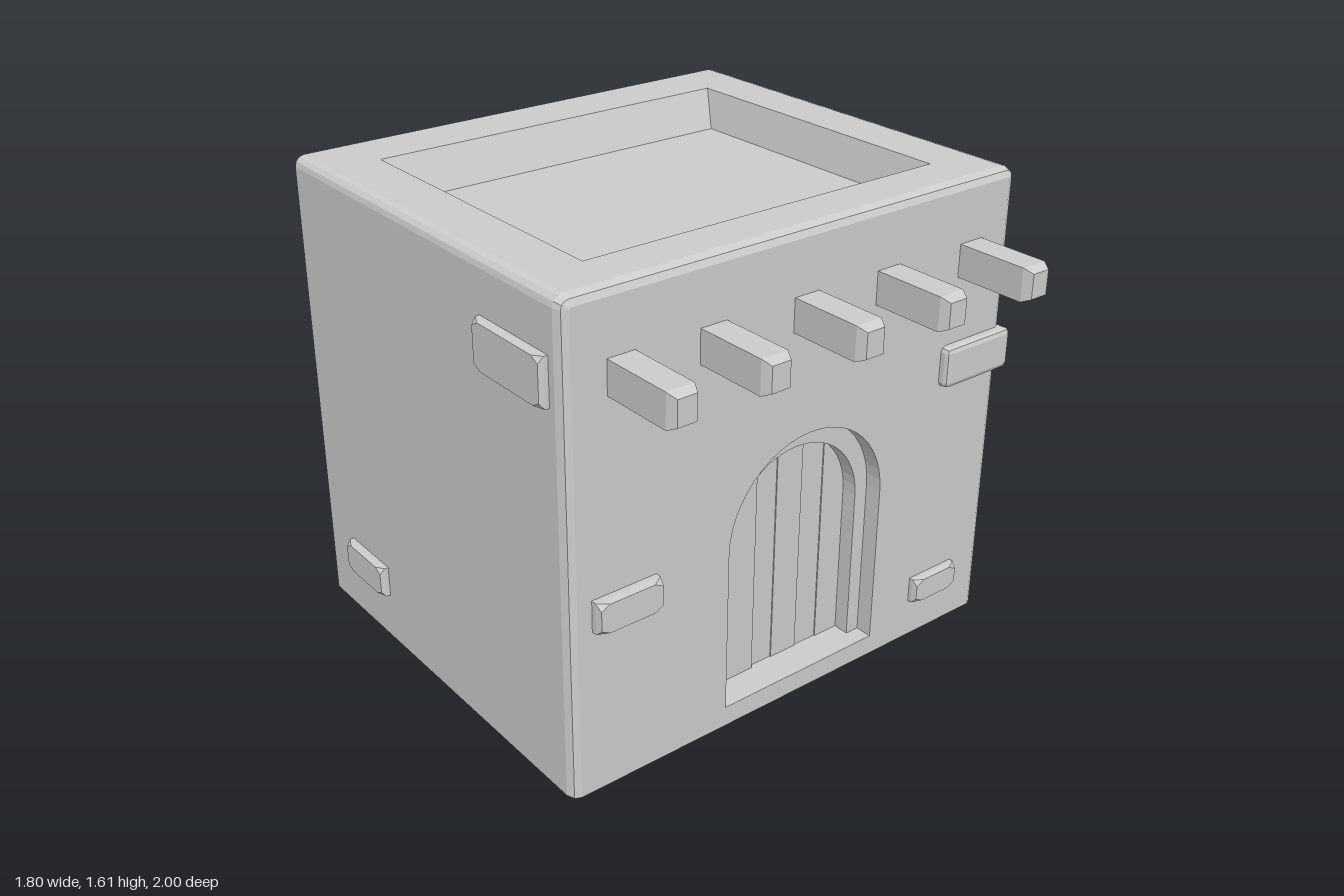
import * as THREE from 'three';
import { ConvexGeometry } from 'three/addons/geometries/ConvexGeometry.js';
import { RoundedBoxGeometry } from 'three/addons/geometries/RoundedBoxGeometry.js';

const material = new THREE.MeshStandardMaterial({ color: 0xcccccc, flatShading: true });
const V3 = (x, y, z) => new THREE.Vector3(x, y, z);
const V2 = (x, y) => new THREE.Vector2(x, y);

function add(parent, name, geometry) {
  const mesh = new THREE.Mesh(geometry, material);
  mesh.name = name;
  parent.add(mesh);
  return mesh;
}

// Skin between closed rings of equal length; skip(k, i) leaves a quad open
function loft(rings, skip = () => false) {
  const pts = [];
  for (let k = 0; k < rings.length - 1; k++) {
    const p = rings[k], q = rings[k + 1];
    for (let i = 0; i < p.length; i++) {
      if (skip(k, i)) continue;
      const j = (i + 1) % p.length;
      pts.push(p[i], p[j], q[j], p[i], q[j], q[i]);
    }
  }
  const g = new THREE.BufferGeometry().setFromPoints(pts);
  g.computeVertexNormals();
  return g;
}

// House outline seen from the front, softened at the two upper corners
const W0 = -0.87, W1 = 0.86, H = 1.61, BACK = -0.745, FRONT = 0.72, R = 0.035, SEG = 3;
function outline(inset) {
  const pts = [V2(W0 + inset, 0), V2(W1 - inset, 0)];
  for (const [cx, start] of [[W1 - R, 0], [W0 + R, Math.PI / 2]]) {
    for (let i = 0; i <= SEG; i++) {
      const a = start + (i / SEG) * Math.PI / 2;
      pts.push(V2(cx + (R - inset) * Math.cos(a), H - R + (R - inset) * Math.sin(a)));
    }
  }
  return pts;
}

// Round-headed doorway outline
function arch(r, spring) {
  const pts = [V2(0.03 - r, 0.07), V2(0.03 + r, 0.07)];
  for (let i = 0; i <= 24; i++) {
    const a = (i / 24) * Math.PI;
    pts.push(V2(0.03 + r * Math.cos(a), spring + r * Math.sin(a)));
  }
  return pts;
}

const atZ = (pts, z) => pts.map(p => V3(p.x, p.y, z));
const rect = (x0, x1, z0, z1) => [V2(x0, -z1), V2(x1, -z1), V2(x1, -z0), V2(x0, -z0)];

function flat(pts, hole) {
  const shape = new THREE.Shape(pts);
  if (hole) shape.holes.push(new THREE.Path(hole));
  return new THREE.ShapeGeometry(shape);
}

// Block whose outer face has its corners cut away
function brickGeometry(w, h, out) {
  const x = w / 2, y = h / 2, pts = [];
  for (const sx of [-1, 1]) for (const sy of [-1, 1]) {
    pts.push(V3(sx * x, sy * y, -0.04), V3(sx * x, sy * y, out * 0.45));
    pts.push(V3(sx * (x - 0.035), sy * (y - 0.004), out), V3(sx * (x - 0.005), sy * (y - 0.02), out));
  }
  return new ConvexGeometry(pts);
}

// Square roof beam running through the house, chamfered at its front end
function beamGeometry(w, h) {
  const ring = (i, z) => [V3(-w + i, -h + i, z), V3(w - i, -h + i, z), V3(w - i, h - i, z), V3(-w + i, h - i, z)];
  return new ConvexGeometry([...ring(0, -1), ...ring(0, 0.97), ...ring(0.014, 1)]);
}

export function createModel() {
  const model = new THREE.Group();
  model.name = 'adobeHouse';

  // Walls with softened front edges
  const walls = new THREE.Group();
  walls.name = 'walls';
  model.add(walls);
  const layers = [[0, BACK], [0, 0.685], [0.01, 0.71], [0.03, FRONT]];
  const topEdge = 2 + SEG;
  add(walls, 'wallShell', loft(layers.map(([i, z]) => atZ(outline(i), z)), (k, i) => k === 0 && i === topEdge));
  const outer = arch(0.315, 0.63), inner = arch(0.265, 0.605);
  add(walls, 'frontWall', flat(outline(0.03), outer)).position.z = FRONT;
  const backWall = add(walls, 'backWall', flat(outline(0).map(p => V2(-p.x, p.y))));
  backWall.rotation.y = Math.PI;
  backWall.position.z = BACK;

  // Roof rim and slanted roof well
  const roof = new THREE.Group();
  roof.name = 'roof';
  model.add(roof);
  const rim = rect(-0.67, 0.66, -0.55, 0.54);
  const floor = rect(-0.7, 0.63, -0.49, 0.6);
  const floorY = H - 0.13;
  const lift = (pts, y) => pts.map(p => V3(p.x, y, -p.y));
  const roofRim = add(roof, 'roofRim', flat(rect(W0 + R, W1 - R, BACK, 0.685), rim));
  roofRim.rotation.x = -Math.PI / 2;
  roofRim.position.y = H;
  add(roof, 'roofWellSides', loft([lift(rim, H), lift(floor, floorY)]));
  const roofFloor = add(roof, 'roofFloor', flat(floor));
  roofFloor.rotation.x = -Math.PI / 2;
  roofFloor.position.y = floorY;

  // Stepped door frame and planks
  const door = new THREE.Group();
  door.name = 'door';
  model.add(door);
  add(door, 'doorFrame', loft(
    [atZ(outer, FRONT), atZ(outer, 0.66), atZ(inner, 0.66), atZ(inner, 0.595)],
    (k, i) => k === 1 && i === 0));
  const planks = [[-0.24, -0.085, 0.612], [-0.085, 0.005, 0.6], [0.005, 0.11, 0.604], [0.11, 0.2, 0.601], [0.2, 0.3, 0.605]];
  for (const [x0, x1, z] of planks) {
    add(door, 'doorPlank', new THREE.BoxGeometry(x1 - x0, 0.82, 0.05)).position.set((x0 + x1) / 2, 0.47, z - 0.025);
  }

  // Roof beams
  for (const x of [-0.678, -0.36, -0.013, 0.318, 0.675]) {
    add(model, 'roofBeam', beamGeometry(0.047, 0.055)).position.set(x, 1.35, 0);
  }

  // Exposed bricks: span along the wall, height range, projection
  const faces = {
    front: { turn: 0, place: (u, y) => [u, y, FRONT] },
    back: { turn: Math.PI, place: (u, y) => [u, y, BACK] },
    left: { turn: Math.PI / 2, place: (u, y) => [W1, y, u] },
    right: { turn: -Math.PI / 2, place: (u, y) => [W0, y, u] },
  };
  const bricks = [
    ['front', -0.79, -0.56, 0.57, 0.675, 0.04],
    ['front', 0.52, 0.715, 0.14, 0.23, 0.032],
    ['back', 0.6, 0.8, 0.94, 1.03, 0.025],
    ['back', -0.63, -0.46, 0.9, 1.0, 0.03],
    ['back', 0.42, 0.74, 0.09, 0.22, 0.055],
    ['left', 0.34, 0.67, 1.28, 1.435, 0.04],
    ['left', -0.61, -0.28, 0.62, 0.775, 0.04],
    ['right', 0.33, 0.66, 1.28, 1.435, 0.03],
    ['right', -0.585, -0.345, 0.17, 0.28, 0.03],
  ];
  for (const [face, u0, u1, y0, y1, out] of bricks) {
    const brick = add(model, face + 'Brick', brickGeometry(u1 - u0, y1 - y0, out));
    brick.rotation.y = faces[face].turn;
    brick.position.set(...faces[face].place((u0 + u1) / 2, (y0 + y1) / 2));
  }
  // Brick wrapping the front left corner
  add(model, 'cornerBrick', new RoundedBoxGeometry(0.29, 0.14, 0.125, 1, 0.018)).position.set(0.725, 1, 0.692);

  return model;
}
